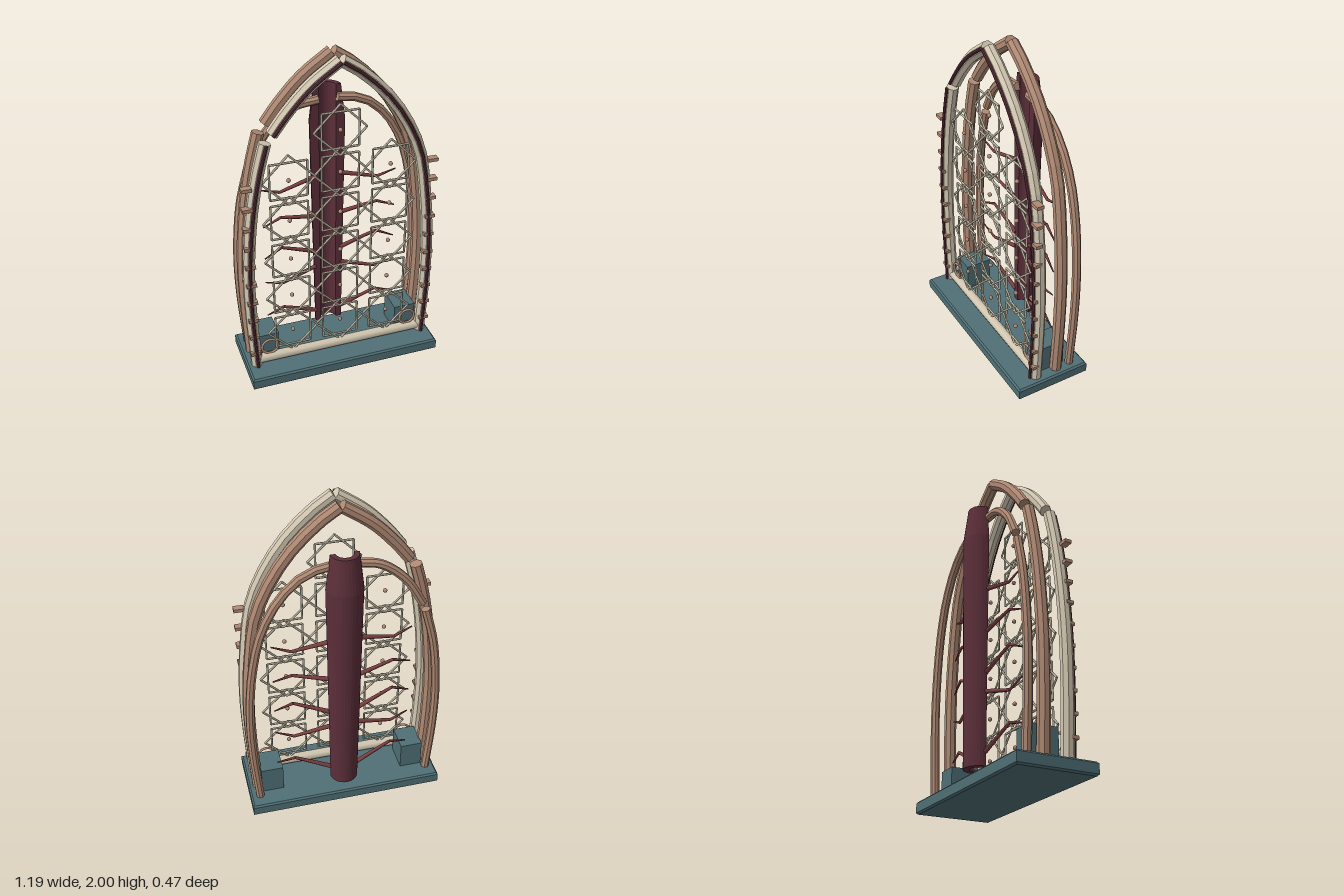
import * as THREE from 'three';

const mat = (name, color, extra = {}) => Object.assign(new THREE.MeshStandardMaterial({ color, ...extra }), { name });

export function createModel() {
  const M = {
    teal: mat('slate teal', 0x4f6f75),
    cream: mat('pale cream', 0xd3c8b2),
    tan: mat('warm tan', 0xb08a74),
    maroon: mat('dark maroon', 0x5c2f3a),
    rust: mat('rust red', 0x7d3f41),
    lattice: mat('stone grey', 0xb5ae9b),
  };
  const root = new THREE.Group();
  const V = (x, y, z = 0) => new THREE.Vector3(x, y, z);
  const add = (name, geo, material, x = 0, y = 0, z = 0, parent = root) => {
    const m = new THREE.Mesh(geo, material);
    m.name = name;
    m.position.set(x, y, z);
    parent.add(m);
    return m;
  };

  // Capped octagonal rib swept along a smooth path
  const rib = (name, pts, r, material, steps = 18) => {
    const shape = new THREE.Shape();
    for (let i = 0; i < 8; i++) {
      const a = (i + 0.5) * Math.PI / 4;
      shape[i ? 'lineTo' : 'moveTo'](Math.cos(a) * r, Math.sin(a) * r);
    }
    shape.closePath();
    const path = new THREE.CatmullRomCurve3(pts);
    return add(name, new THREE.ExtrudeGeometry(shape, { steps, extrudePath: path, bevelEnabled: false }), material);
  };

  // Tapered bar between two points
  const bar = (name, a, b, r0, r1, material, parent = root, sides = 6) => {
    const d = b.clone().sub(a);
    const m = add(name, new THREE.CylinderGeometry(r1, r0, d.length(), sides), material, 0, 0, 0, parent);
    m.position.copy(a).addScaledVector(d, 0.5);
    m.quaternion.setFromUnitVectors(V(0, 1), d.normalize());
    return m;
  };

  // Plinth with a small bevel
  const slab = new THREE.Shape();
  const bx = 0.585, bz = 0.225;
  slab.moveTo(-bx, -bz).lineTo(bx, -bz).lineTo(bx, bz).lineTo(-bx, bz).closePath();
  const slabGeo = new THREE.ExtrudeGeometry(slab, { depth: 0.055, bevelSize: 0.01, bevelThickness: 0.01, bevelSegments: 1 });
  slabGeo.rotateX(-Math.PI / 2);
  add('plinth', slabGeo, M.teal, 0, 0.01, 0);

  // Pointed arches, the left side broken near the shoulder
  const half = [[0.535, 0.08], [0.552, 0.45], [0.552, 0.75], [0.522, 1.1], [0.465, 1.4], [0.31, 1.69], [0.13, 1.88], [0.005, 1.968]];
  const lower = [[-0.535, 0.08], [-0.552, 0.45], [-0.552, 0.75], [-0.522, 1.1], [-0.475, 1.37], [-0.425, 1.56]];
  const upper = [[-0.385, 1.605], [-0.30, 1.715], [-0.17, 1.85], [-0.005, 1.968]];
  const arch = (name, z, r, material) => [half, lower, upper].forEach((p, i) =>
    rib(name + ['Left', 'RightLower', 'RightUpper'][i], p.map(([x, y]) => V(x, y, z)), r, material));
  arch('frontArch', 0.09, 0.036, M.cream);
  arch('middleArch', -0.05, 0.036, M.tan);
  arch('frontArchInlay', 0.128, 0.01, M.maroon);

  // Rear arch bends back at the sides and stops at the hollow column
  const rear = [[0.535, 0.08, -0.145], [0.56, 0.45, -0.146], [0.56, 0.75, -0.147], [0.525, 1.08, -0.147],
    [0.455, 1.34, -0.144], [0.34, 1.53, -0.138], [0.2, 1.64, -0.13], [0.055, 1.668, -0.124]];
  rib('rearArchLeft', rear.map(p => V(...p)), 0.026, M.tan);
  const mirrored = rear.map(([x, y, z]) => V(-x, y, z));
  rib('rearArchRightLower', [...mirrored.slice(0, 4), V(-0.465, 1.315, -0.145)], 0.026, M.tan);
  rib('rearArchRightUpper', [V(-0.445, 1.36, -0.143), ...mirrored.slice(5)], 0.026, M.tan);

  // Sill between the front arch feet
  const sill = add('sill', new THREE.CylinderGeometry(0.03, 0.03, 1.06, 8), M.cream, 0, 0.115, 0.09);
  sill.rotation.z = Math.PI / 2;

  // Hollow half-round column, open toward the front
  const column = new THREE.Group();
  column.name = 'column';
  column.position.z = -0.133;
  root.add(column);
  const profile = [[0.05, 0.13], [0.085, 0.13], [0.106, 1.53], [0.08, 1.74], [0.05, 1.74], [0.05, 0.13]].map(p => new THREE.Vector2(...p));
  const shell = new THREE.LatheGeometry(profile, 16, Math.PI / 2, Math.PI).toNonIndexed();
  shell.computeVertexNormals();
  add('columnShell', shell, M.maroon, 0, 0, 0, column);
  for (const s of [1, -1]) {
    const edge = new THREE.Shape(profile.map(p => new THREE.Vector2(p.x * s, p.y)));
    add('columnEdge', new THREE.ShapeGeometry(edge), M.maroon, 0, 0, 0, column);
  }

  // Bent branches, alternating up and down
  const branches = [[0.21, 0.31, 0.28], [0.55, 0.49, 0.53], [0.66, 0.75, 0.70], [0.91, 0.96, 0.92], [1.18, 1.13, 1.17]];
  for (const [y0, y1, y2] of branches) for (const s of [1, -1]) {
    const a = V(s * 0.08, y0, -0.135), b = V(s * 0.3, y1, -0.108), c = V(s * 0.41, y2, -0.093);
    bar('branch', a, b, 0.014, 0.009, M.rust);
    bar('branchTip', b, c, 0.009, 0.004, M.rust);
  }

  // Star lattice: a square and a diamond around each bead
  const star = (x, y) => {
    const g = new THREE.Group();
    g.name = 'latticeStar';
    g.position.set(x, y, 0.09);
    root.add(g);
    for (const turn of [0, Math.PI / 4]) for (let i = 0; i < 4; i++) {
      const p = k => V(Math.cos(turn + Math.PI / 4 + k * Math.PI / 2) * 0.154, Math.sin(turn + Math.PI / 4 + k * Math.PI / 2) * 0.154);
      bar('latticeBar', p(i), p(i + 1), 0.0065, 0.0065, M.lattice, g);
    }
    add('bead', new THREE.SphereGeometry(0.013, 8, 6), M.tan, 0, 0, 0, g);
  };
  for (let row = 0; row < 6; row++) for (const x of [-0.3, 0, 0.3]) {
    if (row < 5 || x === 0) star(x, 0.285 + row * 0.257);
  }

  // Side pegs, corner blocks and rings
  for (const s of [1, -1]) {
    for (let i = 0; i < 10; i++) add('peg', new THREE.BoxGeometry(0.06, 0.02, 0.042), M.tan, s * 0.547, 0.187 + i * 0.125, 0.113);
    add('cornerBlock', new THREE.BoxGeometry(0.136, 0.175, 0.166), M.teal, s * 0.448, 0.16, -0.031);
    add('ring', new THREE.TorusGeometry(0.05, 0.008, 6, 16), M.tan, s * 0.448, 0.19, 0.09);
  }
  return root;
}
